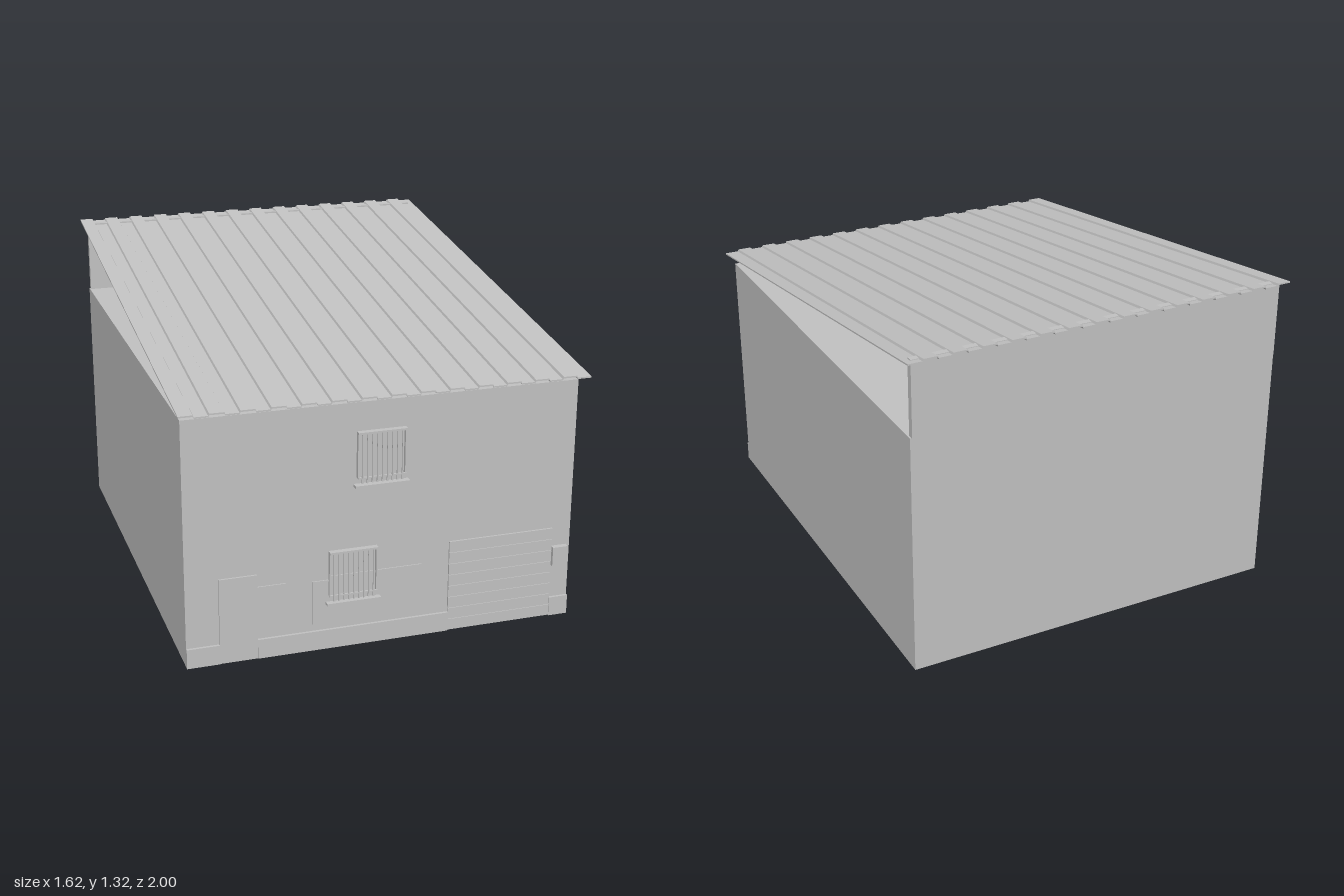
import * as THREE from 'three';

export function createModel() {
  const model = new THREE.Group();
  model.name = 'house';
  const grey = new THREE.MeshStandardMaterial({ color: 0xc0c0c0 });
  grey.name = 'plain grey';
  const FRONT = 0.935;

  // Box given by its limits on each axis
  function box(name, x0, x1, y0, y1, z0, z1, parent = model) {
    const mesh = new THREE.Mesh(new THREE.BoxGeometry(x1 - x0, y1 - y0, z1 - z0), grey);
    mesh.position.set((x0 + x1) / 2, (y0 + y1) / 2, (z0 + z1) / 2);
    mesh.name = name;
    parent.add(mesh);
    return mesh;
  }

  // Main block and the raised back wall that carries the roof
  box('body', -0.79, 0.79, 0, 1, -0.96, FRONT);
  box('backParapet', -0.785, 0.785, 1, 1.309, -0.968, -0.942);

  // Corrugated roof sheet: ribbed profile, extruded and sheared to the slope
  const count = 14, pitch = 1.62 / count, rib = 0.055, height = 0.008, thick = 0.006, slant = 0.004;
  const line = [];
  for (let i = 0; i < count; i++) {
    const x = -0.81 + i * pitch;
    line.push([x, height], [x + rib, height], [x + rib + slant, 0]);
    line.push([i === count - 1 ? 0.81 : x + pitch - slant, 0]);
  }
  const outline = [
    ...line.map(([x, y]) => new THREE.Vector2(x, y)),
    ...line.reverse().map(([x, y]) => new THREE.Vector2(x, y + thick)),
  ];
  const roofGeo = new THREE.ExtrudeGeometry(new THREE.Shape(outline), { depth: 2, bevelEnabled: false });
  roofGeo.translate(0, 0, -1);
  const pos = roofGeo.attributes.position;
  for (let i = 0; i < pos.count; i++) {
    pos.setY(i, pos.getY(i) + 1.165 - 0.14 * pos.getZ(i));
  }
  roofGeo.computeVertexNormals();
  const roof = new THREE.Mesh(roofGeo, grey);
  roof.name = 'corrugatedRoof';
  model.add(roof);

  // Barred windows with a frame, lower rail and sill
  function barredWindow(name, x0, y0) {
    const g = new THREE.Group();
    g.name = name;
    const w = 0.195, h = 0.205, x1 = x0 + w, y1 = y0 + h;
    box('frameTop', x0, x1, y1 - 0.008, y1, FRONT, 0.958, g);
    box('frameLeft', x0, x0 + 0.006, y0 + 0.02, y1, FRONT, 0.952, g);
    box('frameRight', x1 - 0.006, x1, y0 + 0.02, y1, FRONT, 0.952, g);
    box('lowerRail', x0, x1, y0 + 0.018, y0 + 0.024, 0.948, 0.956, g);
    for (let i = 0; i < 9; i++) {
      const x = x0 + 0.018 + i * 0.02;
      box('bar', x - 0.003, x + 0.003, y0, y1 - 0.006, 0.952, 0.958, g);
    }
    box('sill', x0 - 0.012, x1 + 0.012, y0 - 0.016, y0 - 0.006, FRONT, 0.963, g);
    model.add(g);
  }
  barredWindow('upperWindow', -0.115, 0.68);
  barredWindow('lowerWindow', -0.225, 0.205);

  // Plinth along the foot of the front wall
  box('plinthDoorSide', -0.79, -0.66, 0, 0.08, FRONT, 0.946);
  box('plinthMiddle', -0.51, 0.27, 0, 0.08, FRONT, 0.946);
  box('plinthGarageSide', 0.71, 0.79, 0, 0.08, FRONT, 0.946);

  // Front door and shallow wall panels
  box('door', -0.66, -0.51, 0, 0.352, FRONT, 0.943);
  box('doorSidePanel', -0.51, -0.395, 0.115, 0.3, FRONT, 0.94);
  box('windowPanelLeft', -0.29, -0.225, 0.108, 0.29, FRONT, 0.94);
  box('windowPanelMiddle', -0.225, -0.03, 0.108, 0.305, FRONT, 0.94);
  box('windowPanelRight', -0.03, 0.155, 0.115, 0.305, FRONT, 0.94);

  // Slatted garage door and the meter box beside it
  box('garageDoorBacking', 0.27, 0.71, 0, 0.384, FRONT, 0.938);
  const slats = 8, step = 0.384 / slats;
  for (let i = 0; i < slats; i++) {
    box('garageSlat', 0.27, 0.71, i * step + 0.002, (i + 1) * step, 0.937, 0.943);
  }
  box('meterBox', 0.71, 0.775, 0.225, 0.305, FRONT, 0.958);

  return model;
}
